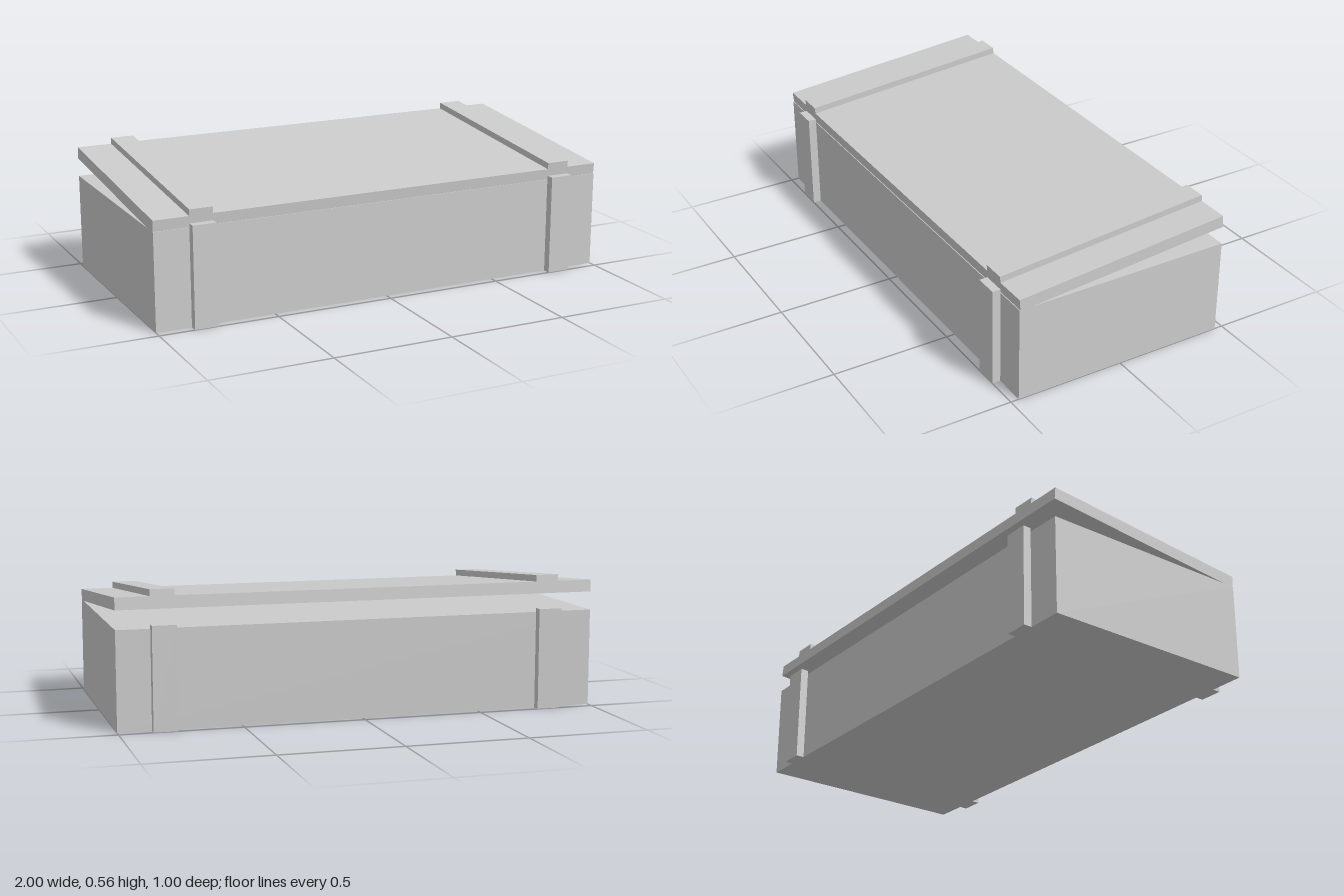
import * as THREE from 'three';

export function createModel() {
  const model = new THREE.Group();
  model.name = 'crate';
  const material = new THREE.MeshStandardMaterial({ color: 0xcccccc, flatShading: true });

  function addBox(parent, name, size, position) {
    const mesh = new THREE.Mesh(new THREE.BoxGeometry(...size), material);
    mesh.name = name;
    mesh.position.set(...position);
    parent.add(mesh);
  }

  const depth = 0.93, bodyHeight = 0.404;
  const battenWidth = 0.098, battenX = [-0.804, 0.814];

  // Closed crate body
  addBox(model, 'body', [2, bodyHeight, depth], [0, bodyHeight / 2, 0]);

  // Upright battens on the front and back walls
  for (const x of battenX) {
    for (const side of [1, -1]) {
      addBox(model, side > 0 ? 'frontBatten' : 'backBatten',
        [battenWidth, 0.42, 0.035], [x, 0.21, side * 0.4825]);
    }
  }

  // Lid propped up at the back, with two battens across it
  const lid = new THREE.Group();
  lid.name = 'lid';
  lid.position.set(0, 0.465, 0);
  lid.rotation.x = THREE.MathUtils.degToRad(5);
  addBox(lid, 'lidPanel', [2, 0.05, depth], [0, 0, 0]);
  for (const x of battenX) {
    addBox(lid, 'lidBatten', [battenWidth, 0.027, depth], [x, 0.0385, 0]);
  }
  model.add(lid);

  return model;
}
